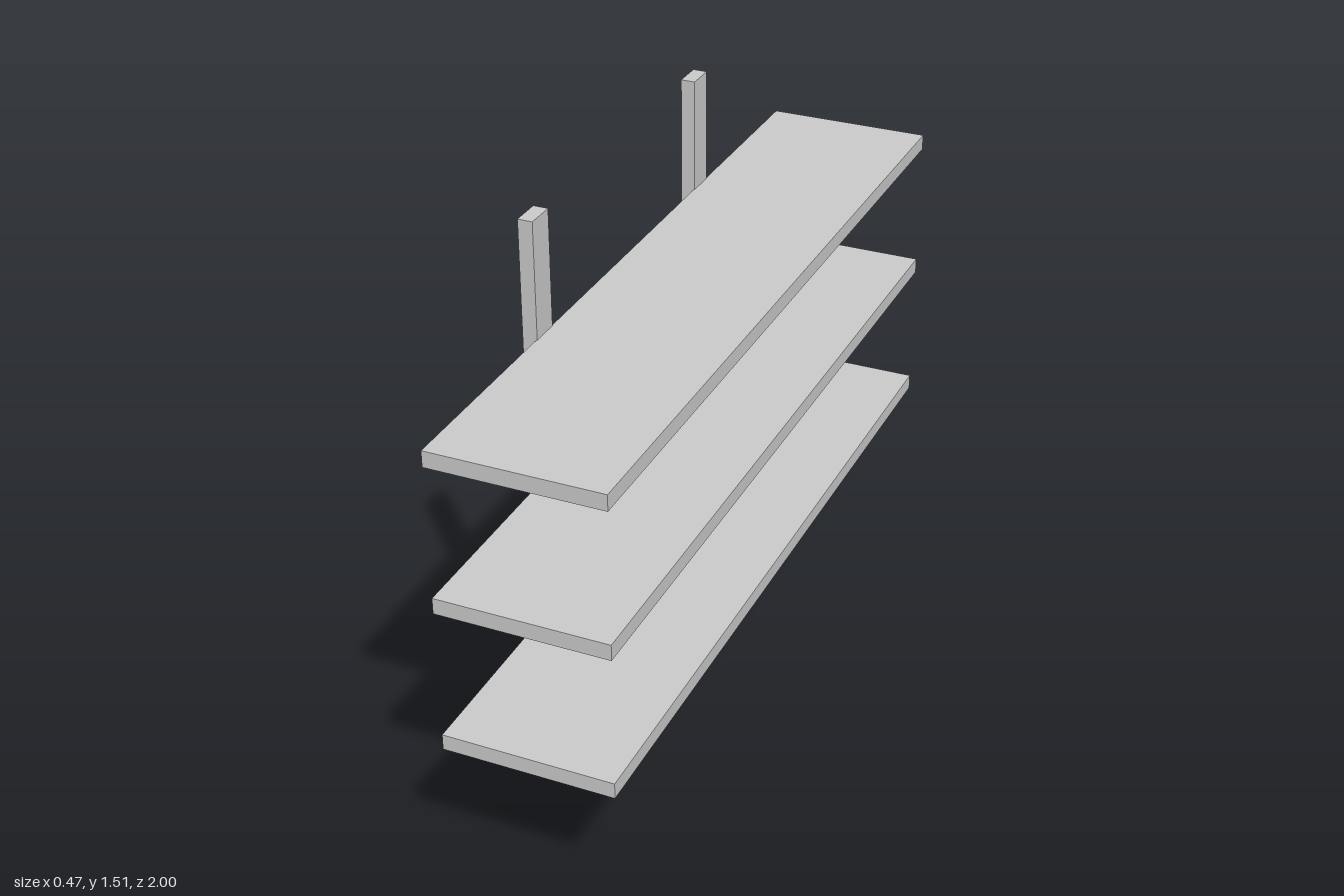
import * as THREE from 'three';

const material = new THREE.MeshStandardMaterial({ color: 0xcccccc, flatShading: true });
const POST_Z = [0.432, -0.464];
const POST_WIDTH = 0.077;
const SHELF_Y = [0.418, 0.794, 1.17]; // underside of each shelf

// Box given by its minimum and maximum corners
function box(name, [x0, y0, z0], [x1, y1, z1]) {
  const mesh = new THREE.Mesh(new THREE.BoxGeometry(x1 - x0, y1 - y0, z1 - z0), material);
  mesh.position.set((x0 + x1) / 2, (y0 + y1) / 2, (z0 + z1) / 2);
  mesh.name = name;
  return mesh;
}

// Tapered bracket with a chamfered tip; its top lies at y = 0
function bracketGeometry() {
  const side = new THREE.Shape([
    new THREE.Vector2(-0.198, 0),
    new THREE.Vector2(-0.198, -0.038),
    new THREE.Vector2(0.198, -0.028),
    new THREE.Vector2(0.222, 0),
  ]);
  return new THREE.ExtrudeGeometry(side, { depth: POST_WIDTH, bevelEnabled: false })
    .translate(0, 0, -POST_WIDTH / 2);
}

export function createModel() {
  const model = new THREE.Group();
  model.name = 'shelvingUnit';

  // Two upright posts at the back of the shelves
  for (const z of POST_Z) {
    model.add(box('post', [-0.235, 0, z - POST_WIDTH / 2], [-0.198, 1.508, z + POST_WIDTH / 2]));
  }

  // Three shelves, each on a pair of brackets
  const bracketGeo = bracketGeometry();
  for (const y of SHELF_Y) {
    model.add(box('shelf', [-0.2, y, -1], [0.232, y + 0.041, 1]));
    for (const z of POST_Z) {
      const bracket = new THREE.Mesh(bracketGeo, material);
      bracket.name = 'bracket';
      bracket.position.set(0, y, z);
      model.add(bracket);
    }
  }
  return model;
}
